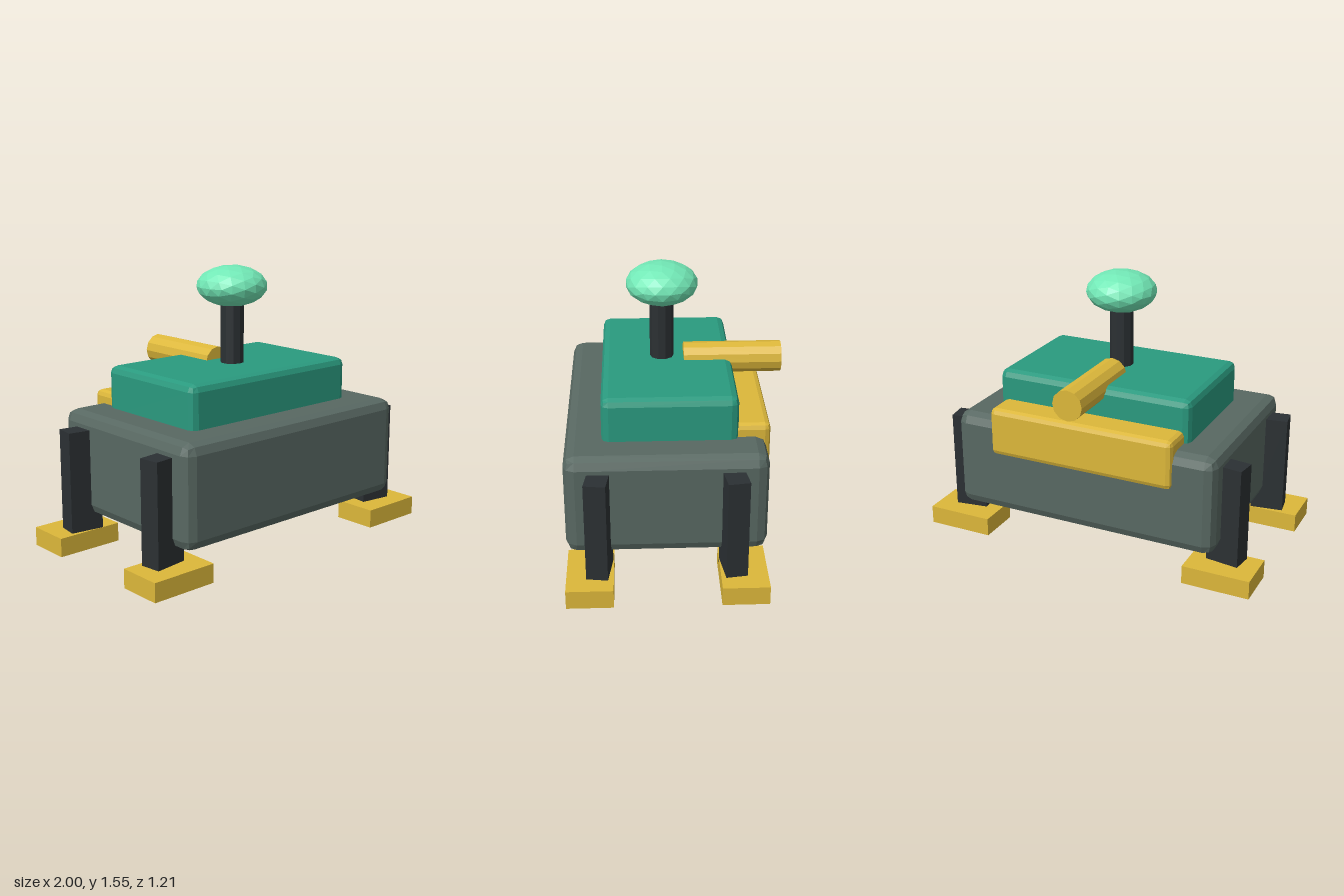
import * as THREE from 'three';
import { RoundedBoxGeometry } from 'three/addons/geometries/RoundedBoxGeometry.js';

const paint = (color) => new THREE.MeshStandardMaterial({ color, flatShading: true });

export function createModel() {
  const model = new THREE.Group();
  const grey = paint(0x586862);
  const teal = paint(0x2a9a7f);
  const yellow = paint(0xdcb73a);
  const dark = paint(0x2b3033);
  const mint = paint(0x72e8b6);

  const add = (name, geometry, material, x, y, z) => {
    const mesh = new THREE.Mesh(geometry, material);
    mesh.name = name;
    mesh.position.set(x, y, z);
    model.add(mesh);
    return mesh;
  };

  // Bevelled hull, upper deck and rear pack
  add('body', new RoundedBoxGeometry(1.57, 0.57, 1.08, 1, 0.06), grey, 0, 0.475, 0.065);
  add('upperDeck', new RoundedBoxGeometry(1.16, 0.32, 0.73, 1, 0.04), teal, 0, 0.84, 0.04);
  add('rearPack', new RoundedBoxGeometry(1.1, 0.28, 0.24, 1, 0.03), yellow, 0, 0.69, -0.378);

  // Barrel pointing backwards, half sunk into the deck
  const barrel = add('barrel', new THREE.CylinderGeometry(0.088, 0.088, 0.55, 12), yellow, 0, 0.983, -0.33);
  barrel.rotation.x = Math.PI / 2;

  // Mast with a flattened faceted knob
  add('mast', new THREE.CylinderGeometry(0.067, 0.067, 0.5, 10), dark, 0, 1.13, 0.067);
  const knob = add('knob', new THREE.IcosahedronGeometry(0.2, 2), mint, 0, 1.433, 0.065);
  knob.scale.y = 0.58;

  // Four splayed legs on flat feet
  const legShape = new THREE.BoxGeometry(0.19, 0.6, 0.117);
  const footShape = new THREE.BoxGeometry(0.386, 0.106, 0.252);
  for (const side of [1, -1]) {
    for (const end of [1, -1]) {
      const name = (end > 0 ? 'front' : 'rear') + (side > 0 ? 'Left' : 'Right');
      const leg = add(name + 'Leg', legShape, dark, side * 0.805, 0.378, end > 0 ? 0.426 : -0.29);
      leg.rotation.y = -side * end * 0.14;
      add(name + 'Foot', footShape, yellow, side * 0.807, 0.053, end > 0 ? 0.477 : -0.345);
    }
  }

  return model;
}
